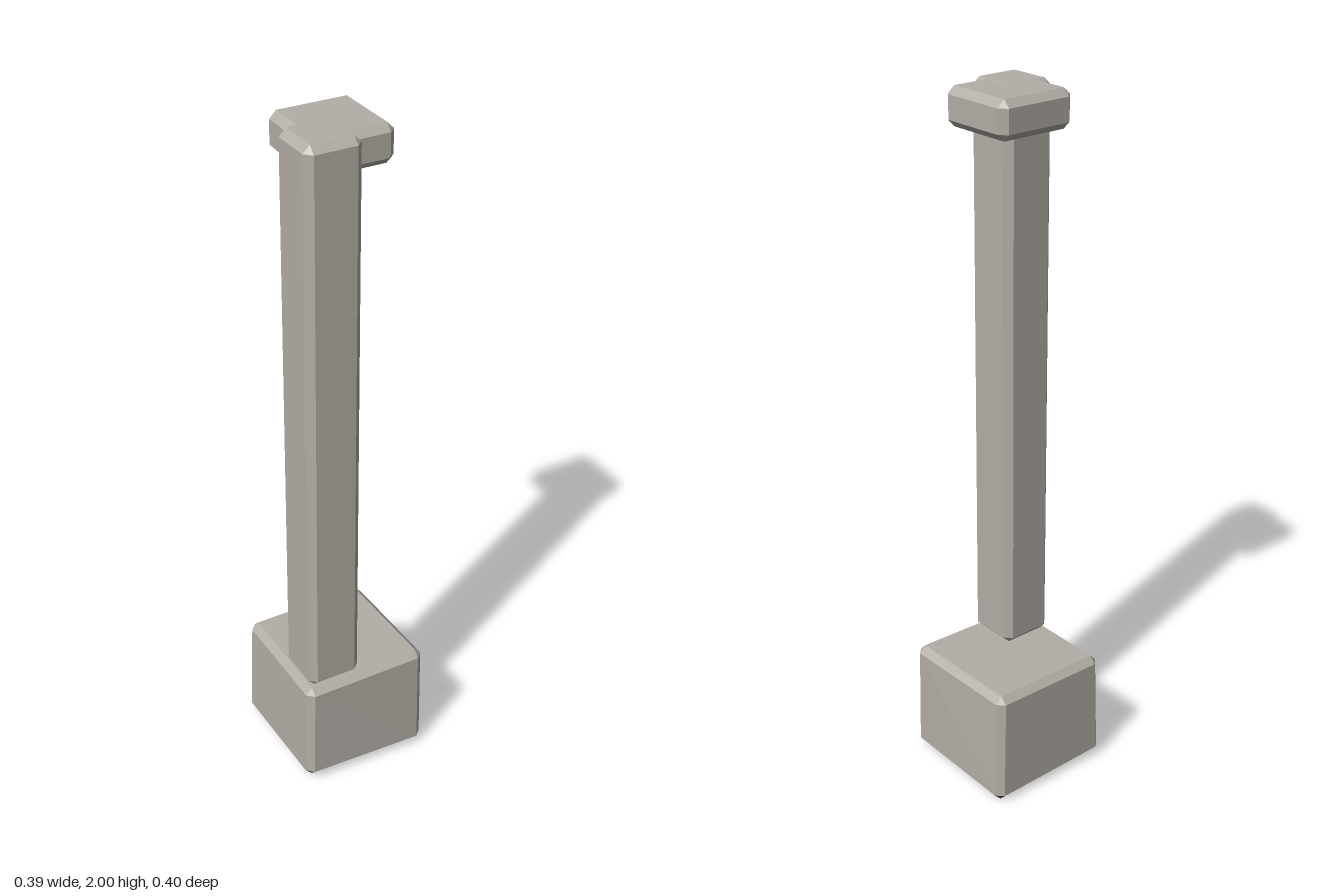
import * as THREE from 'three';
import { ConvexGeometry } from 'three/addons/geometries/ConvexGeometry.js';

// Chamfered block from eight corners: each corner becomes three points, one per adjoining face
function chamferedBlock(corners, bevel) {
  const centre = new THREE.Vector3();
  corners.forEach((c) => centre.add(c));
  centre.divideScalar(corners.length);
  const points = [];
  for (const c of corners) {
    for (const keep of ['x', 'y', 'z']) {
      const p = c.clone();
      for (const axis of ['x', 'y', 'z']) {
        if (axis !== keep) p[axis] -= Math.sign(c[axis] - centre[axis]) * bevel;
      }
      points.push(p);
    }
  }
  return new ConvexGeometry(points);
}

function boxCorners(x0, x1, y0, y1, z0, z1) {
  const corners = [];
  for (const x of [x0, x1]) for (const y of [y0, y1]) for (const z of [z0, z1]) {
    corners.push(new THREE.Vector3(x, y, z));
  }
  return corners;
}

// Second material for the triangles that face downward
function groupUnderside(geometry) {
  const normal = geometry.attributes.normal;
  for (let i = 0; i < normal.count; i += 3) {
    geometry.addGroup(i, 3, normal.getY(i) < -0.4 ? 1 : 0);
  }
  return geometry;
}

export function createModel() {
  const stone = new THREE.MeshStandardMaterial({ color: 0xb3aea6 });
  stone.name = 'warm grey stone';
  const dark = new THREE.MeshStandardMaterial({ color: 0x5a5a58 });
  dark.name = 'dark underside';

  const model = new THREE.Group();
  model.name = 'cornerPost';
  const add = (name, geometry, material) => {
    const mesh = new THREE.Mesh(geometry, material);
    mesh.name = name;
    model.add(mesh);
  };

  // Slightly irregular base block
  const baseCorners = [
    [-0.19, 0.345, 0.187], [0.193, 0.35, 0.19], [-0.19, 0.342, -0.195], [0.188, 0.345, -0.195],
    [-0.195, 0.014, 0.189], [0.193, 0.008, 0.197], [-0.198, 0.01, -0.2], [0.197, 0, -0.2],
  ].map((c) => new THREE.Vector3(...c));
  add('base', groupUnderside(chamferedBlock(baseCorners, 0.02)), [stone, dark]);

  // Tall column on the front right corner of the base
  add('column', chamferedBlock(boxCorners(-0.175, -0.015, 0.345, 2, 0.015, 0.175), 0.02), stone);

  // Cap reaching in from the column over the centre
  add('cap', chamferedBlock(boxCorners(-0.143, 0.095, 1.893, 1.999, -0.097, 0.14), 0.02), stone);

  return model;
}
